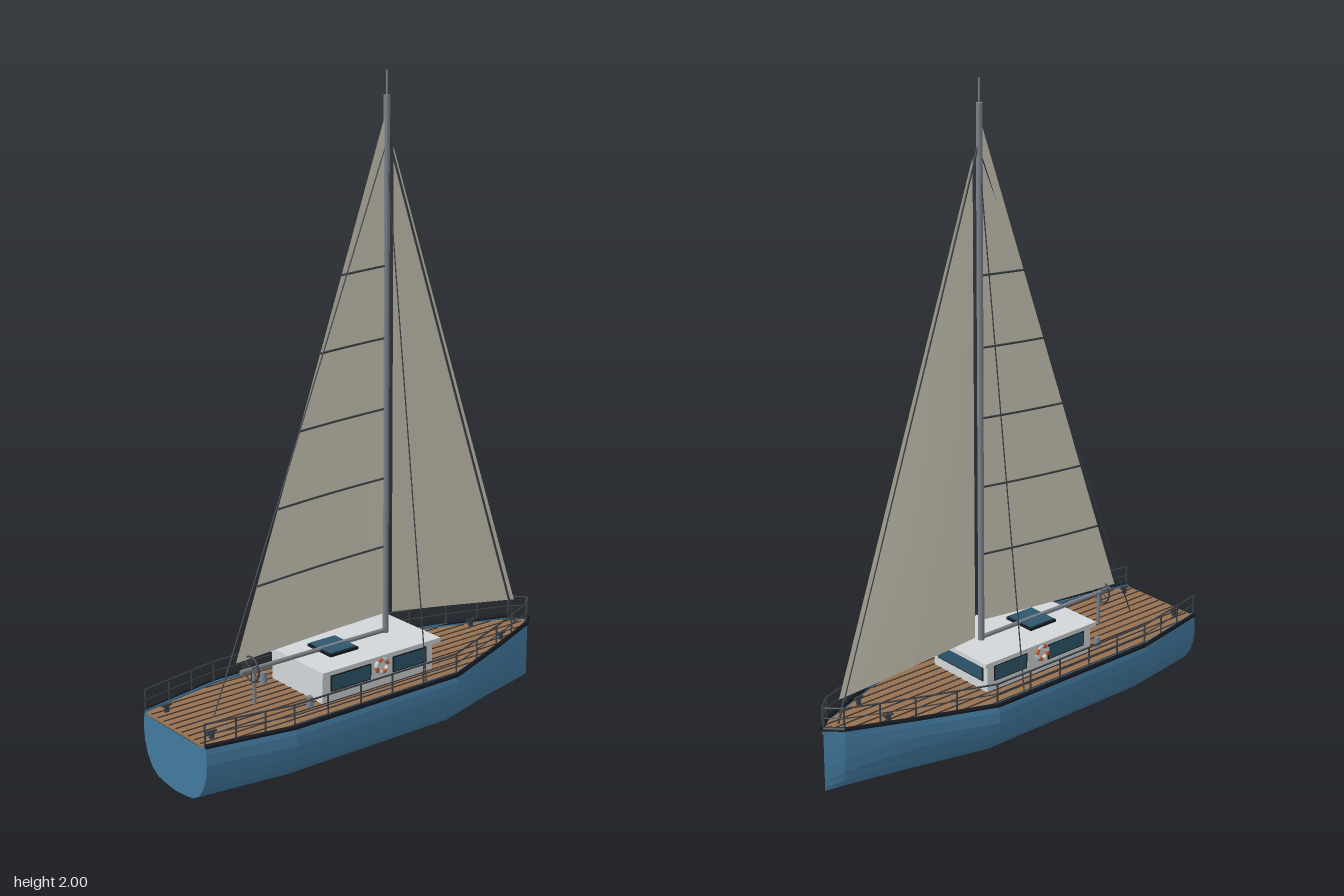
import * as THREE from 'three';

const mat = (color, extra = {}) => new THREE.MeshStandardMaterial({ color, ...extra });
const V = (x, y, z) => new THREE.Vector3(x, y, z);

// Half beam of the hull at chosen stations along x
const STATIONS = [[-0.685, 0.163], [-0.41, 0.217], [0.2, 0.217], [0.44, 0.128], [0.64, 0.046], [0.685, 0.002]];
function beam(x) {
  for (let i = 1; i < STATIONS.length; i++) {
    const [x0, b0] = STATIONS[i - 1], [x1, b1] = STATIONS[i];
    if (x <= x1) return b0 + (b1 - b0) * (x - x0) / (x1 - x0);
  }
  return 0;
}
// Sheer rises a little towards the bow
const sheer = x => Math.max(0, x - 0.2) * 0.02;

export function createModel() {
  const model = new THREE.Group();
  const blue = mat(0x42799f, { flatShading: true });
  const black = mat(0x15191f), wood = mat(0x96704f), seamMat = mat(0x3a3230);
  const white = mat(0xd2d6d8), glass = mat(0x2f566b), metal = mat(0x7c828a);
  const wire = mat(0x3c4248), orange = mat(0xc8623a);
  const canvas = mat(0xd6d1c1, { side: THREE.DoubleSide });

  function add(name, geo, material, x = 0, y = 0, z = 0, parent = model) {
    const m = new THREE.Mesh(geo, material);
    m.name = name;
    m.position.set(x, y, z);
    parent.add(m);
    return m;
  }
  const box = (name, w, h, d, material, x, y, z, parent) =>
    add(name, new THREE.BoxGeometry(w, h, d), material, x, y, z, parent);
  // Round bar between two points
  function rod(name, a, b, r, material, parent = model, sides = 6) {
    const m = add(name, new THREE.CylinderGeometry(r, r, a.distanceTo(b), sides), material, 0, 0, 0, parent);
    m.position.copy(a).add(b).multiplyScalar(0.5);
    m.quaternion.setFromUnitVectors(V(0, 1, 0), b.clone().sub(a).normalize());
    return m;
  }
  function group(name) {
    const g = new THREE.Group();
    g.name = name;
    model.add(g);
    return g;
  }

  // Hull: one cross-section (fraction of beam, height) lofted through the stations
  const half = [[0.92, 0.184], [0.92, 0.197], [0.95, 0.197], [0.985, 0.17], [1, 0.138], [0.97, 0.1],
    [0.89, 0.062], [0.75, 0.03], [0.56, 0.011], [0.3, 0.004]];
  const section = [...half, [0, 0], ...half.slice().reverse().map(([w, y]) => [-w, y])];
  const n = section.length, pos = [], idx = [];
  for (const [x, b] of STATIONS)
    for (const [w, y] of section) pos.push(x, y + sheer(x) * y / 0.2, w * b);
  for (let i = 0; i < STATIONS.length - 1; i++)
    for (let j = 0; j < n - 1; j++) {
      const a = i * n + j, b = a + n;
      idx.push(a, a + 1, b, a + 1, b + 1, b);
    }
  // Transom fan
  pos.push(-0.685, 0.12, 0);
  for (let j = 0; j < n; j++) idx.push(pos.length / 3 - 1, (j + 1) % n, j);
  const hullGeo = new THREE.BufferGeometry();
  hullGeo.setAttribute('position', new THREE.Float32BufferAttribute(pos, 3));
  hullGeo.setIndex(idx);
  hullGeo.computeVertexNormals();
  add('hull', hullGeo, blue);

  // Deck with dark plank seams
  const deckShape = new THREE.Shape();
  STATIONS.forEach(([x, b], i) => (i ? deckShape.lineTo(x, b * 0.93) : deckShape.moveTo(x, b * 0.93)));
  [...STATIONS].reverse().forEach(([x, b]) => deckShape.lineTo(x, -b * 0.93));
  const deckGeo = new THREE.ExtrudeGeometry(deckShape, { depth: 0.006, bevelEnabled: false });
  deckGeo.rotateX(-Math.PI / 2);
  add('deck', deckGeo, wood, 0, 0.185, 0);
  const seams = group('deckSeams');
  for (let k = -6; k <= 6; k++) {
    const z = k * 0.0316;
    let x0 = -0.68, x1 = 0.66;
    while (beam(x0) * 0.91 < Math.abs(z)) x0 += 0.005;
    while (beam(x1) * 0.91 < Math.abs(z)) x1 -= 0.005;
    box('seam', x1 - x0, 0.003, 0.005, seamMat, (x0 + x1) / 2, 0.191, z, seams);
  }

  // Rub rail and guard rails on both sides
  const rubRail = group('rubRail'), guard = group('guardRail');
  const posts = [-0.683, -0.59, -0.5, -0.41, -0.29, -0.17, -0.05, 0.07, 0.2, 0.32, 0.44, 0.54, 0.64, 0.683];
  for (const s of [1, -1]) {
    for (let i = 1; i < STATIONS.length; i++) {
      const [a, b] = [STATIONS[i - 1], STATIONS[i]].map(([x, w]) => V(x, 0.194 + sheer(x), s * w * 0.97));
      rod('rubRailBar', a, b, 0.007, black, rubRail);
    }
    const at = (x, y) => V(x, y + sheer(x), s * beam(x) * 0.94);
    posts.forEach((x, i) => {
      rod('post', at(x, 0.19), at(x, 0.262), 0.0028, wire, guard);
      if (i) for (const y of [0.228, 0.26])
        rod('railLine', at(posts[i - 1], y), at(x, y), y > 0.25 ? 0.0028 : 0.0018, wire, guard);
    });
  }

  // Cabin
  const cabin = group('cabin');
  box('cabinBody', 0.42, 0.095, 0.25, white, -0.04, 0.236, 0, cabin);
  box('cabinRoof', 0.45, 0.014, 0.28, white, -0.035, 0.288, 0, cabin);
  box('hatchFrame', 0.104, 0.01, 0.114, black, -0.115, 0.298, 0, cabin);
  box('hatch', 0.094, 0.014, 0.104, glass, -0.115, 0.3, 0, cabin);
  box('frontWindowFrame', 0.006, 0.052, 0.212, black, 0.17, 0.248, 0, cabin);
  box('frontWindow', 0.008, 0.044, 0.204, glass, 0.171, 0.248, 0, cabin);
  for (const s of [1, -1]) {
    for (const [x, w] of [[-0.145, 0.15], [0.08, 0.13]]) {
      box('sideWindowFrame', w, 0.05, 0.006, black, x, 0.248, s * 0.125, cabin);
      box('sideWindow', w - 0.008, 0.042, 0.008, glass, x, 0.248, s * 0.126, cabin);
    }
    // Life ring with white bands
    for (let q = 0; q < 8; q++) {
      const arc = add('lifeRing', new THREE.TorusGeometry(0.021, 0.0065, 8, 4, Math.PI / 4),
        q % 2 ? white : orange, -0.037, 0.262, s * 0.138, cabin);
      arc.rotation.z = q * Math.PI / 4;
    }
  }

  // Mast, boom and rigging
  rod('mast', V(0.088, 0.19, 0), V(0.088, 1.93, 0), 0.0095, metal, model, 12);
  rod('mastTop', V(0.088, 1.93, 0), V(0.088, 2, 0), 0.003, metal);
  rod('boom', V(0.088, 0.303, 0), V(-0.452, 0.303, 0), 0.007, metal, model, 10);
  rod('forestay', V(0.09, 1.82, 0), V(0.63, 0.2, 0), 0.0035, wire);
  rod('backstay', V(0.085, 1.79, 0), V(-0.55, 0.19, 0), 0.002, wire);
  for (const s of [1, -1]) rod('shroud', V(0.088, 1.77, 0), V(0.088, 0.195, s * 0.196), 0.0018, wire);

  // Sails: triangular grids with a little belly
  function sail(name, tack, clew, head, belly) {
    const N = 16, p = [], f = [];
    const point = (u, v) => {
      const q = tack.clone().lerp(clew, u).lerp(head, v);
      q.z += belly * Math.sin(Math.PI * u) * Math.sin(Math.PI * Math.min(1, v + 0.2)) * (1 - v);
      return q;
    };
    for (let j = 0; j <= N; j++) for (let i = 0; i <= N; i++) p.push(...point(i / N, j / N).toArray());
    for (let j = 0; j < N; j++) for (let i = 0; i < N; i++) {
      const a = j * (N + 1) + i, b = a + N + 1;
      f.push(a, b, a + 1, a + 1, b, b + 1);
    }
    const g = new THREE.BufferGeometry();
    g.setAttribute('position', new THREE.Float32BufferAttribute(p, 3));
    g.setIndex(f);
    g.computeVertexNormals();
    add(name, g, canvas);
    return point;
  }
  const mainPoint = sail('mainSail', V(0.078, 0.358, 0), V(-0.455, 0.325, -0.02), V(0.08, 1.87, 0), -0.008);
  sail('foreSail', V(0.625, 0.275, 0), V(0.148, 0.335, -0.042), V(0.113, 1.78, 0), -0.006);
  // Battens follow the main sail
  const battens = group('battens');
  for (let k = 0; k < 5; k++) {
    const v = 0.143 + k * 0.1425;
    for (let i = 0; i < 4; i++)
      rod('batten', mainPoint(i / 4, v), mainPoint((i + 1) / 4, v), 0.0035, wire, battens);
  }

  // Helm
  const helm = group('helm');
  rod('pedestal', V(-0.405, 0.19, 0), V(-0.405, 0.305, 0), 0.006, metal, helm);
  const wheel = add('wheel', new THREE.TorusGeometry(0.038, 0.003, 6, 24), wire, -0.415, 0.304, 0, helm);
  wheel.rotation.y = Math.PI / 2;
  for (let k = 0; k < 3; k++) {
    const c = Math.cos(k * Math.PI / 3) * 0.038, s = Math.sin(k * Math.PI / 3) * 0.038;
    rod('spoke', V(-0.415, 0.304 + c, s), V(-0.415, 0.304 - c, -s), 0.0018, wire, helm);
  }

  // Winches and cleats
  for (const s of [1, -1]) {
    add('winch', new THREE.CylinderGeometry(0.009, 0.012, 0.034, 12), metal, -0.29, 0.207, s * 0.115);
    for (const [x, z] of [[-0.635, 0.115], [0.503, 0.072]]) {
      box('cleatFoot', 0.014, 0.018, 0.008, wire, x, 0.2, s * z);
      box('cleatBar', 0.032, 0.006, 0.007, wire, x, 0.212, s * z);
    }
  }
  return model;
}
